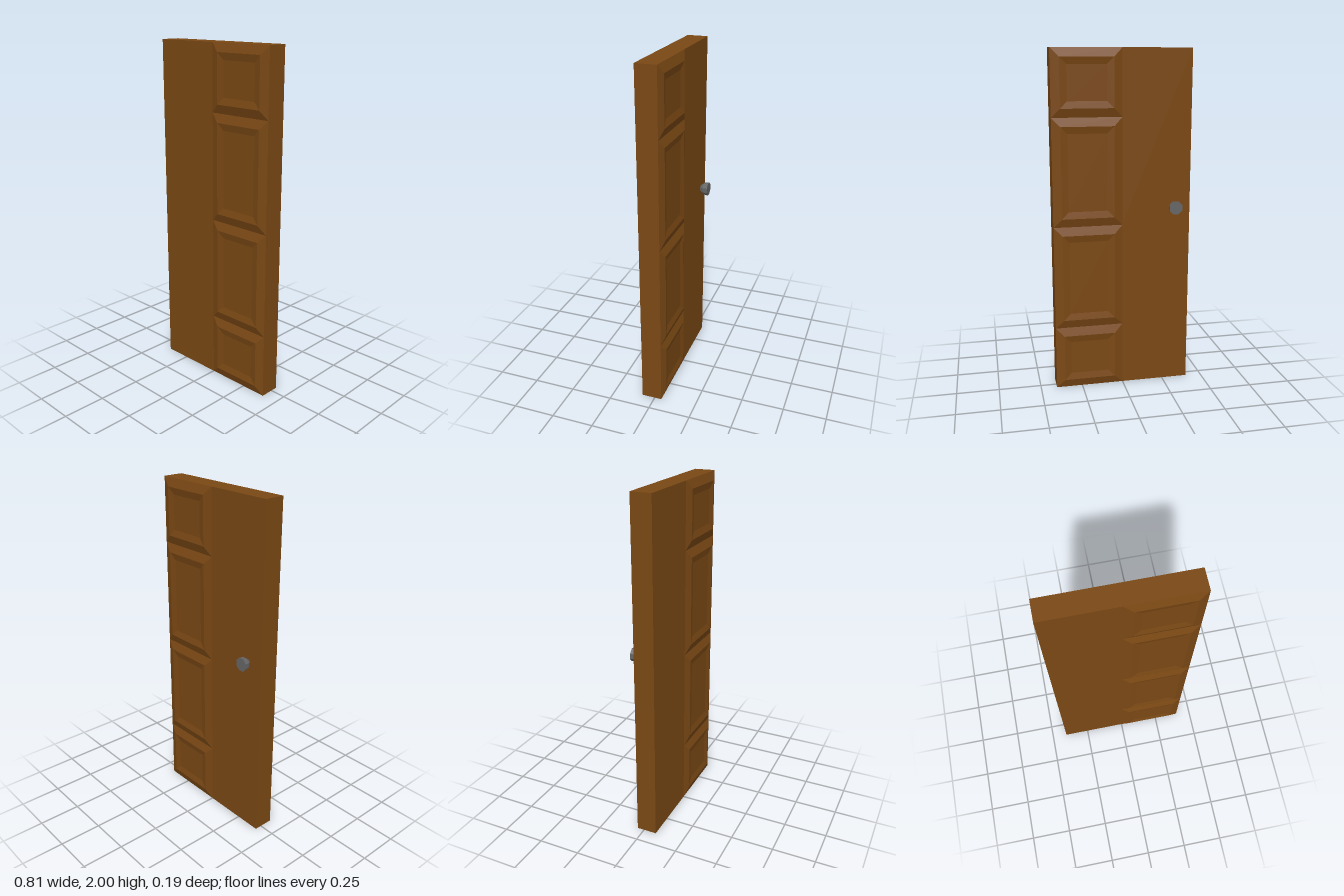
import * as THREE from 'three';

const WIDTH = 0.81, HEIGHT = 2, FRONT = 0.078, BACK = -0.042;
const wood = new THREE.MeshStandardMaterial({ color: 0x7a4814, flatShading: true });
const metal = new THREE.MeshStandardMaterial({ color: 0x666666, flatShading: true });

// Moulded panel centred on its origin: rectangular rings rise to a ridge,
// then step down to a sunken field that closes the middle.
function panelGeometry(w, h) {
  const rings = [[0, 0], [0.05, 0.0165], [0.09, 0.008]]; // inset, height
  const corners = [[-1, -1], [1, -1], [1, 1], [-1, 1]];
  const positions = [], index = [];
  for (const [inset, z] of rings) {
    for (const [sx, sy] of corners) {
      positions.push(sx * (w / 2 - inset), sy * (h / 2 - inset), z);
    }
  }
  for (let r = 0; r < rings.length - 1; r++) {
    for (let i = 0; i < 4; i++) {
      const a = r * 4 + i, b = r * 4 + (i + 1) % 4;
      index.push(a, b, b + 4, a, b + 4, a + 4);
    }
  }
  const f = (rings.length - 1) * 4;
  index.push(f, f + 1, f + 2, f, f + 2, f + 3);
  const indexed = new THREE.BufferGeometry();
  indexed.setAttribute('position', new THREE.Float32BufferAttribute(positions, 3));
  indexed.setIndex(index);
  const geometry = indexed.toNonIndexed();
  geometry.computeVertexNormals();
  return geometry;
}

export function createModel() {
  const door = new THREE.Group();
  door.name = 'door';

  // Plain slab
  const slab = new THREE.Mesh(new THREE.BoxGeometry(WIDTH, HEIGHT, FRONT - BACK), wood);
  slab.name = 'slab';
  slab.position.set(0, HEIGHT / 2, (FRONT + BACK) / 2);
  door.add(slab);

  // Column of four panels on both faces of the hinge half
  const levels = [0, 0.38, 0.995, 1.62, HEIGHT];
  for (let i = 0; i < 4; i++) {
    const geometry = panelGeometry(WIDTH / 2, levels[i + 1] - levels[i]);
    for (const side of ['front', 'back']) {
      const panel = new THREE.Mesh(geometry, wood);
      panel.name = `${side}Panel${i + 1}`;
      panel.position.set(WIDTH / 4, (levels[i] + levels[i + 1]) / 2, side === 'front' ? FRONT : BACK);
      if (side === 'back') panel.rotation.x = Math.PI;
      door.add(panel);
    }
  }

  // Eight-sided knob flaring away from the back face
  const profile = [[0, 0], [0.021, 0], [0.036, 0.02], [0.041, 0.049], [0, 0.049]]
    .map(([r, y]) => new THREE.Vector2(r, y));
  const knob = new THREE.Mesh(new THREE.LatheGeometry(profile, 8, Math.PI / 8), metal);
  knob.name = 'knob';
  knob.rotation.x = -Math.PI / 2;
  knob.position.set(-0.307, 1.093, -0.048);
  door.add(knob);

  return door;
}
